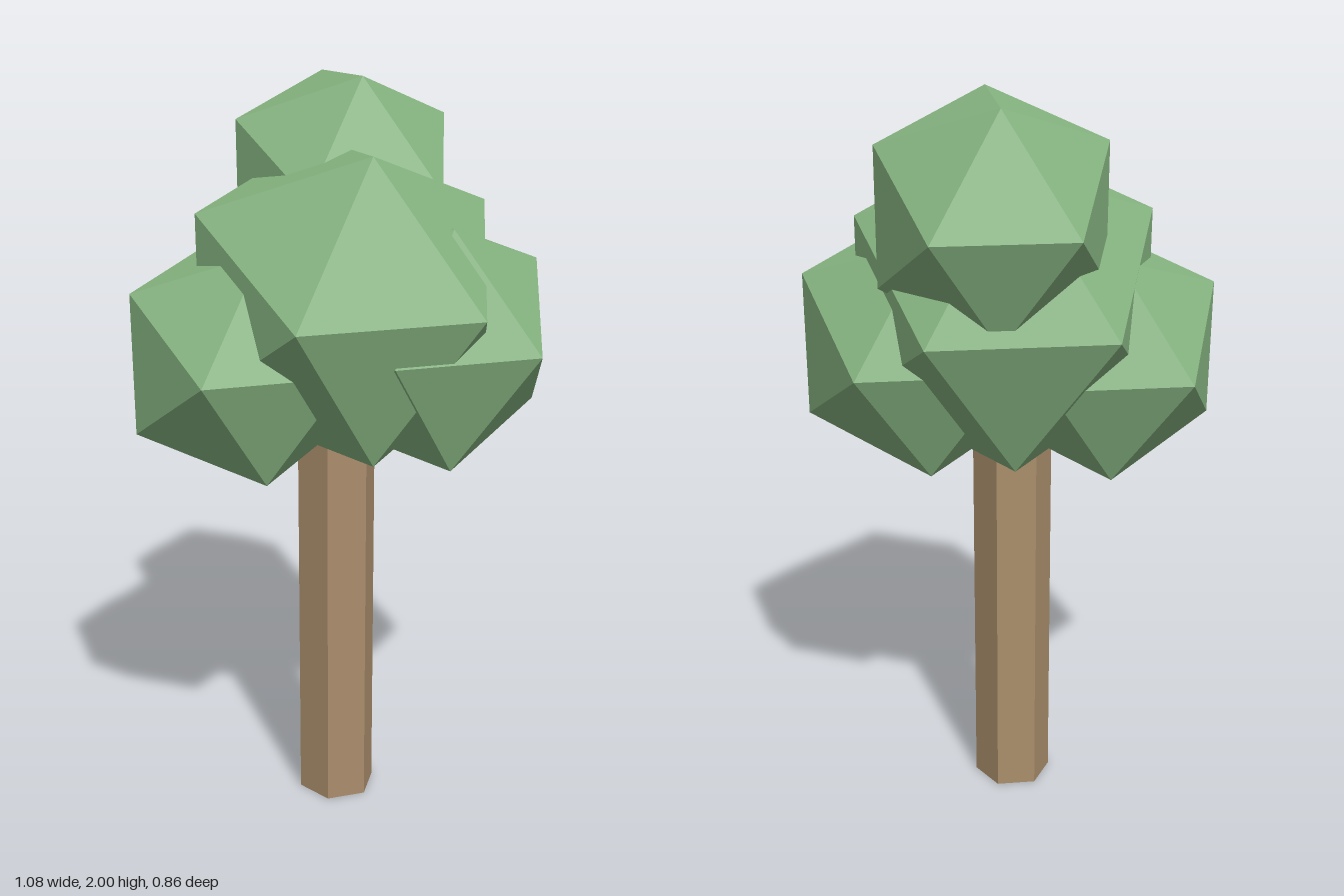
import * as THREE from 'three';

export function createModel() {
  const tree = new THREE.Group();
  tree.name = 'tree';

  const leafGreen = new THREE.MeshStandardMaterial({ color: 0x86b480 });
  leafGreen.name = 'leafGreen';
  const barkBrown = new THREE.MeshStandardMaterial({ color: 0xab8e6c });
  barkBrown.name = 'barkBrown';
  leafGreen.flatShading = barkBrown.flatShading = true;

  // Six-sided trunk with a flat side to the front, running up into the crown
  const trunkHeight = 1.3;
  const trunk = new THREE.Mesh(
    new THREE.CylinderGeometry(0.108, 0.108, trunkHeight, 6).rotateY(Math.PI / 6),
    barkBrown
  );
  trunk.name = 'trunk';
  trunk.position.set(-0.007, trunkHeight / 2, 0.035);
  tree.add(trunk);

  // Leaf clumps: icosahedra that share one slight backward tilt
  const clumpShape = new THREE.IcosahedronGeometry(1, 0)
    .rotateY(Math.PI / 2)
    .rotateX(-0.027);

  const addClump = (name, radius, x, y, z) => {
    const clump = new THREE.Mesh(clumpShape, leafGreen);
    clump.name = name;
    clump.scale.setScalar(radius);
    clump.position.set(x, y, z);
    tree.add(clump);
  };

  addClump('middleLeaves', 0.456, 0.012, 1.439, 0.04);
  addClump('topLeaves', 0.338, 0.063, 1.708, -0.142);
  addClump('rightLeaves', 0.35, -0.247, 1.298, 0.018);
  addClump('leftLeaves', 0.369, 0.226, 1.328, 0.078);

  return tree;
}
